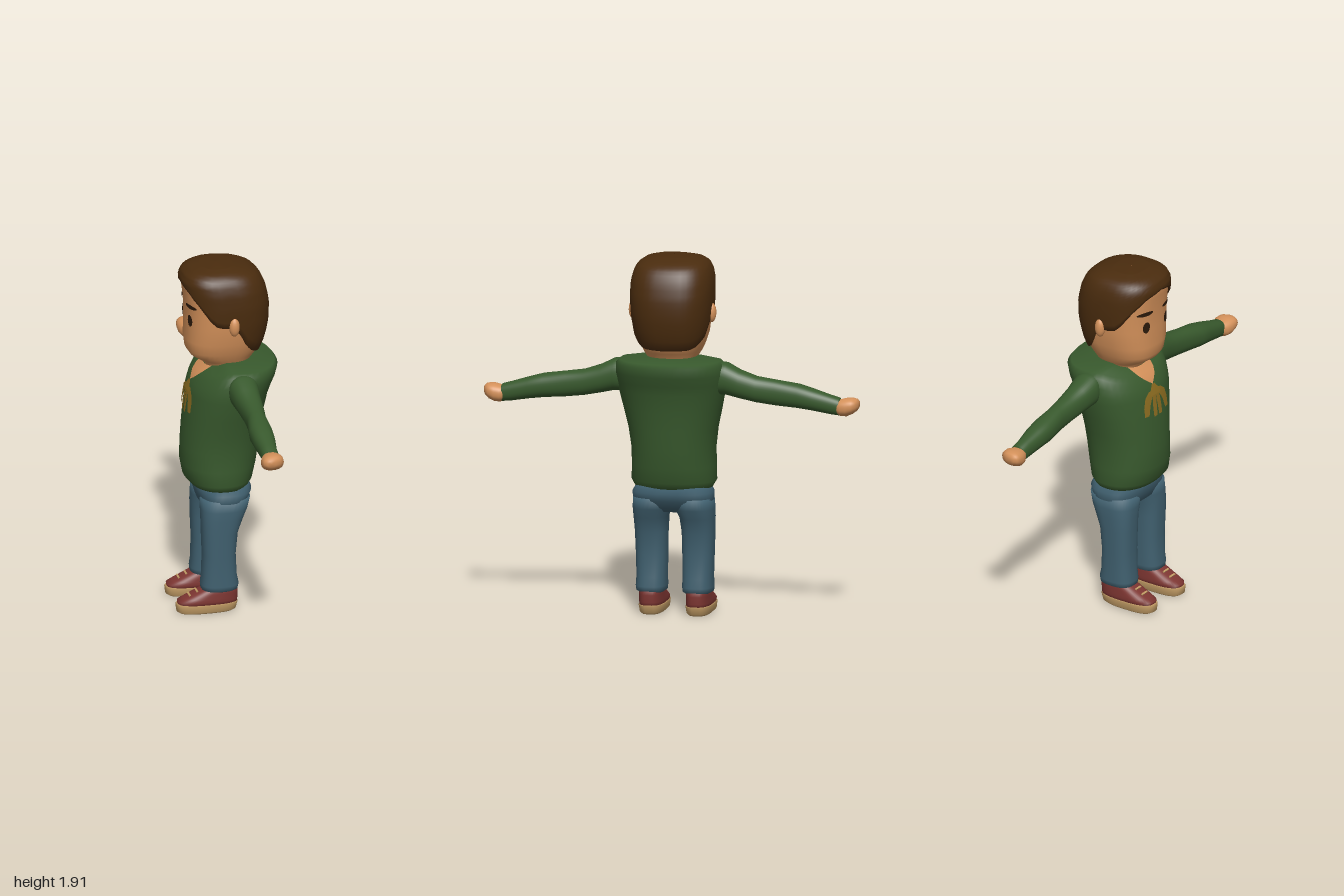
import * as THREE from 'three';

const mat = (name, color, side = THREE.FrontSide) => {
  const m = new THREE.MeshStandardMaterial({ color, side });
  m.name = name;
  return m;
};

// Surface from rows of points: columns run to the right, rows run upwards
function gridGeo(rows, wrap, capped) {
  const n = rows[0].length, pos = rows.flat(2), idx = [];
  const last = wrap ? n : n - 1;
  for (let i = 0; i < rows.length - 1; i++) {
    for (let j = 0; j < last; j++) {
      const a = i * n + j, b = i * n + (j + 1) % n;
      idx.push(a, b, b + n, a, b + n, a + n);
    }
  }
  if (capped) {
    for (const top of [false, true]) {
      const r = top ? rows.length - 1 : 0, pole = pos.length / 3;
      for (let k = 0; k < 3; k++) pos.push(rows[r].reduce((s, p) => s + p[k], 0) / n);
      for (let j = 0; j < n; j++) {
        const a = r * n + j, b = r * n + (j + 1) % n;
        if (top) idx.push(a, b, pole); else idx.push(b, a, pole);
      }
    }
  }
  const g = new THREE.BufferGeometry();
  g.setAttribute('position', new THREE.Float32BufferAttribute(pos, 3));
  g.setIndex(idx);
  g.computeVertexNormals();
  return g;
}

// Cross-section: [y, xMin, xMax, zMin, zMax]; angle 0 points to the face side (-x)
const spow = (v, e) => Math.sign(v) * Math.abs(v) ** e;
function ringPoint([y, x0, x1, z0, z1], a, p, grow = 0) {
  return [(x0 + x1) / 2 - ((x1 - x0) / 2 + grow) * spow(Math.cos(a), 2 / p), y,
    (z0 + z1) / 2 + ((z1 - z0) / 2 + grow) * spow(Math.sin(a), 2 / p)];
}
function sample(sections, y) {
  let i = 0;
  while (i < sections.length - 2 && y > sections[i + 1][0]) i++;
  const a = sections[i], b = sections[i + 1];
  const t = Math.min(1, Math.max(0, (y - a[0]) / (b[0] - a[0])));
  return a.map((v, k) => v + (b[k] - v) * t);
}
const N = 40;
const angles = Array.from({ length: N }, (_, j) => j / N * Math.PI * 2);
const loft = (sections, p = 2.3, warp = q => q) =>
  gridGeo(sections.map(s => angles.map(a => warp(ringPoint(s, a, p)))), true, true);

// Thin patch laid on the face side of a loft; rows: [y, zLeft, zRight]
function patch(sections, p, rows, warp = q => q, lift = 0.005) {
  return gridGeo(rows.map(([y, za, zb]) => Array.from({ length: 9 }, (_, j) => {
    const z = za + (zb - za) * j / 8, s = sample(sections, y);
    const rx = (s[2] - s[1]) / 2, rz = s[4];
    const x = (s[1] + s[2]) / 2 - rx * Math.max(0, 1 - Math.abs(z / rz) ** p) ** (1 / p);
    const q = warp([x, y, z]);
    return [q[0] - lift, q[1] + lift * 0.5, q[2]];
  })), false, false);
}
const sym = list => list.map(([y, x0, x1, h]) => [y, x0, x1, -h, h]);

const HEAD = sym([
  [1.30, -0.10, 0.10, 0.10], [1.36, -0.10, 0.13, 0.12], [1.385, -0.14, 0.14, 0.135],
  [1.41, -0.18, 0.16, 0.15], [1.44, -0.20, 0.18, 0.163], [1.50, -0.207, 0.203, 0.185],
  [1.60, -0.203, 0.222, 0.20], [1.70, -0.205, 0.222, 0.206], [1.78, -0.215, 0.203, 0.203],
  [1.83, -0.22, 0.18, 0.19], [1.86, -0.205, 0.15, 0.172], [1.88, -0.17, 0.10, 0.14],
  [1.893, -0.11, 0.03, 0.085]]);
const TORSO = sym([
  [0.675, -0.15, 0.10, 0.18], [0.685, -0.18, 0.125, 0.205], [0.72, -0.21, 0.145, 0.224],
  [0.80, -0.226, 0.165, 0.221], [0.90, -0.224, 0.18, 0.222], [1.00, -0.216, 0.192, 0.235],
  [1.10, -0.205, 0.205, 0.258], [1.20, -0.19, 0.225, 0.28], [1.25, -0.182, 0.243, 0.287],
  [1.30, -0.172, 0.265, 0.29], [1.35, -0.15, 0.278, 0.285], [1.37, -0.13, 0.262, 0.265],
  [1.385, -0.10, 0.16, 0.14]]);
// Lowers the front of the collar
const collarDrop = ([x, y, z]) =>
  [x, y + Math.min(0, x + 0.02) * 0.5 * Math.min(1, Math.max(0, (y - 1.2) / 0.17)), z];

// Hairline: [degrees from the face, height]
const HAIRLINE = [[0, 1.82], [25, 1.795], [45, 1.73], [65, 1.64], [75, 1.61], [90, 1.61],
  [98, 1.56], [108, 1.50], [122, 1.455], [140, 1.435], [180, 1.43]];

export function createModel() {
  const skin = mat('skin', 0xd4915a), hairMat = mat('hair', 0x4a2c0e, THREE.DoubleSide);
  const wool = mat('green sweater', 0x38592d), denim = mat('blue denim', 0x40606f);
  const red = mat('red shoe', 0x7c3531), tan = mat('tan sole', 0xc09a64);
  const gold = mat('gold ribbon', 0x8c6c20, THREE.DoubleSide);
  const dark = mat('dark features', 0x2c1a0a, THREE.DoubleSide);
  const openSkin = mat('neckline skin', 0xd4915a, THREE.DoubleSide);

  const model = new THREE.Group();
  model.name = 'standingFigure';
  const add = (name, geo, material) => {
    const m = new THREE.Mesh(geo, material);
    m.name = name;
    model.add(m);
    return m;
  };

  // Head and hair
  add('head', loft(HEAD, 2.5), skin);
  const hairRows = [];
  for (let k = -1; k <= 18; k++) {
    const t = 1 - (1 - Math.max(0, k) / 18) ** 2;
    hairRows.push(angles.map(a => {
      const deg = Math.abs((a * 180 / Math.PI + 180) % 360 - 180);
      const low = sample(HAIRLINE.map(([d, h]) => [d, h]), deg)[1];
      const q = ringPoint(sample(HEAD, low + (1.893 - low) * t), a, 2.5, k < 0 ? -0.012 : 0.012);
      q[1] += 0.01 * t;
      return q;
    }));
  }
  const crown = hairRows[hairRows.length - 1];
  hairRows.push(crown.map(([x, y, z]) => [-0.04 + (x + 0.04) * 0.02, y + 0.004, z * 0.02]));
  add('hair', gridGeo(hairRows, true, false), hairMat);

  // Face details and ears
  for (const s of [-1, 1]) {
    const side = s > 0 ? 'Left' : 'Right';
    const eye = [], brow = [];
    for (let i = 0; i <= 8; i++) {
      const c = -Math.cos(i / 8 * Math.PI), w = Math.sqrt(Math.max(0, 1 - c * c));
      eye.push([1.62 + 0.032 * c, s * 0.085 - 0.022 * w, s * 0.085 + 0.022 * w]);
      brow.push([1.70 + 0.012 * c, s * 0.09 - 0.05 * w, s * 0.09 + 0.05 * w]);
    }
    add('eye' + side, patch(HEAD, 2.5, eye), dark);
    add('eyebrow' + side, patch(HEAD, 2.5, brow), dark);
    const ear = add('ear' + side, new THREE.SphereGeometry(1, 16, 12), skin);
    ear.scale.set(0.028, 0.052, 0.026);
    ear.position.set(0.012, 1.615, s * 0.208);
  }

  // Sweater, open neckline and ribbon
  add('sweaterBody', loft(TORSO, 2.2, collarDrop), wool);
  add('neckline', patch(TORSO, 2.2,
    [[1.30, 0, 0], [1.325, -0.026, 0.026], [1.35, -0.05, 0.05], [1.37, -0.07, 0.07],
      [1.385, -0.09, 0.09]], collarDrop), openSkin);
  const ribbon = (name, rows) => add(name, patch(TORSO, 2.2, rows, collarDrop, 0.007), gold);
  ribbon('ribbonKnot', [[1.20, -0.045, 0.045], [1.25, -0.035, 0.035], [1.30, -0.012, 0.012]]);
  for (const s of [-1, 1]) {
    const strip = rows => rows.map(([y, a, b]) => s > 0 ? [y, a, b] : [y, -b, -a]);
    ribbon('ribbonLoop', strip([[1.10, 0.07, 0.10], [1.15, 0.055, 0.10], [1.20, 0.03, 0.085],
      [1.25, 0.01, 0.05]]));
    ribbon('ribbonTail', strip([[1.085, 0.008, 0.035], [1.14, 0.004, 0.035], [1.20, 0, 0.03]]));
  }

  // Arms and hands: [z, xMin, xMax, yMin, yMax]
  const SLEEVE = [[0.20, 0.0, 0.11, 1.22, 1.34], [0.25, -0.03, 0.12, 1.19, 1.365],
    [0.30, -0.035, 0.122, 1.19, 1.36], [0.37, -0.018, 0.116, 1.175, 1.325],
    [0.46, -0.004, 0.112, 1.158, 1.295], [0.56, -0.002, 0.10, 1.145, 1.28],
    [0.68, -0.02, 0.104, 1.135, 1.262], [0.76, -0.012, 0.10, 1.125, 1.24],
    [0.85, 0.0, 0.088, 1.11, 1.212], [0.90, 0.0, 0.088, 1.105, 1.198],
    [0.905, 0.01, 0.08, 1.12, 1.19]];
  const HAND = [[0.87, 0.01, 0.08, 1.12, 1.185], [0.91, -0.012, 0.094, 1.102, 1.19],
    [0.94, -0.02, 0.10, 1.102, 1.198], [0.97, -0.02, 0.095, 1.115, 1.198],
    [0.99, -0.015, 0.075, 1.13, 1.192], [1.0, 0.0, 0.05, 1.145, 1.18]];
  for (const s of [-1, 1]) {
    const side = s > 0 ? 'Left' : 'Right';
    const limb = list => loft(list.map(([z, a, b, c, d]) =>
      s > 0 ? [z, a, b, -d, -c] : [z, a, b, c, d])).rotateX(s * Math.PI / 2);
    add('sleeve' + side, limb(SLEEVE), wool);
    add('hand' + side, limb(HAND), skin);
  }

  // Trousers
  add('trouserSeat', loft(sym([[0.555, -0.10, 0.06, 0.12], [0.58, -0.135, 0.09, 0.195],
    [0.62, -0.148, 0.118, 0.213], [0.66, -0.16, 0.135, 0.212], [0.70, -0.155, 0.12, 0.19]]), 2.7), denim);
  const LEG = [[0.115, -0.13, 0.03, 0.06, 0.185], [0.125, -0.147, 0.045, 0.045, 0.202],
    [0.15, -0.15, 0.05, 0.043, 0.205], [0.20, -0.143, 0.04, 0.044, 0.202],
    [0.32, -0.14, 0.034, 0.042, 0.206], [0.44, -0.145, 0.045, 0.04, 0.21],
    [0.52, -0.147, 0.075, 0.033, 0.213], [0.57, -0.147, 0.098, 0.012, 0.214],
    [0.63, -0.145, 0.115, 0.0, 0.21]];
  // Shoes
  const UPPER = [[0.04, -0.272, 0.042, 0.06, 0.19], [0.065, -0.274, 0.044, 0.058, 0.192],
    [0.08, -0.245, 0.045, 0.06, 0.19], [0.105, -0.19, 0.046, 0.062, 0.188],
    [0.125, -0.148, 0.045, 0.064, 0.186], [0.14, -0.13, 0.035, 0.07, 0.18]];
  const SOLE = [[0, -0.262, 0.022, 0.07, 0.18], [0.01, -0.278, 0.036, 0.06, 0.19],
    [0.045, -0.282, 0.046, 0.055, 0.195], [0.052, -0.276, 0.042, 0.06, 0.19]];
  for (const s of [-1, 1]) {
    const side = s > 0 ? 'Left' : 'Right';
    const place = list => list.map(([y, a, b, c, d]) => s > 0 ? [y, a, b, c, d] : [y, a, b, -d, -c]);
    add('trouserLeg' + side, loft(place(LEG), 2.6), denim);
    add('shoe' + side, loft(place(UPPER), 2.8), red);
    add('sole' + side, loft(place(SOLE), 2.8), tan);
    for (const [x, y] of [[-0.212, 0.097], [-0.172, 0.115]]) {
      const lace = add('lace' + side, new THREE.BoxGeometry(0.01, 0.008, 0.045), tan);
      lace.position.set(x, y, s * 0.125);
      lace.rotation.z = 0.42;
    }
  }
  return model;
}
